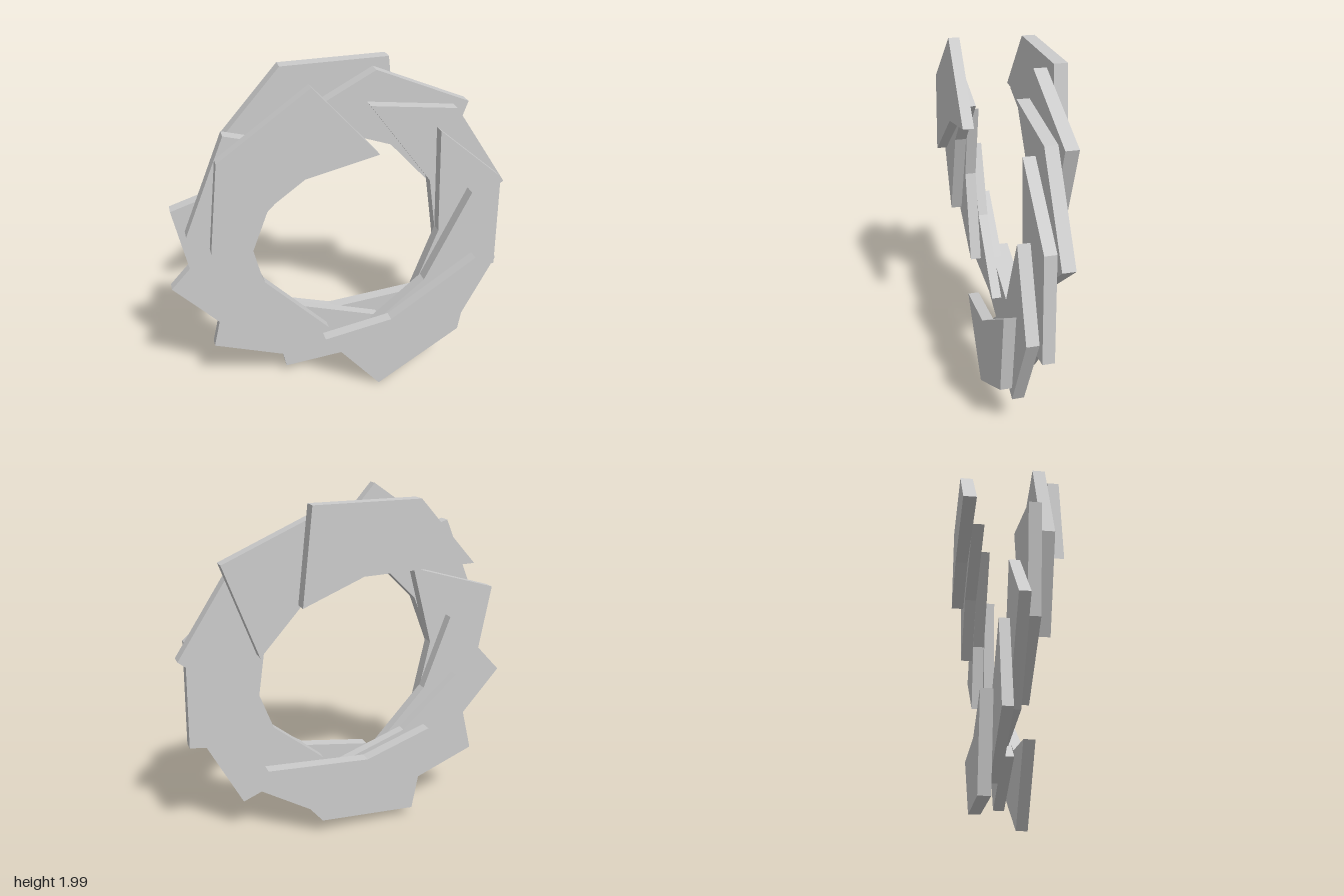
import * as THREE from 'three';

// One row per overlapping plate, going round the ring:
// [tip angle, back z, front z, tip r, shoulder r, tail r, inner r, head r, tail turn, head turn]
const frontStrand = [
  [102.8, 0.19, 0.25, 1.015, 0.962, 0.788, 0.573, 0.609, 66.6, -25],
  [130.8, 0.12, 0.187, 1.01, 0.917, 0.718, 0.557, 0.64, 69, -26.8],
  [159.8, 0.05, 0.115, 1.012, 0.874, 0.65, 0.54, 0.66, 70.5, -31],
  [189.7, -0.01, 0.048, 1.005, 0.852, 0.623, 0.52, 0.67, 71, -28],
  [219.6, -0.065, -0.01, 1.02, 0.89, 0.67, 0.545, 0.675, 70.5, -27.6],
  [249.8, -0.135, -0.067, 1.012, 0.935, 0.754, 0.56, 0.62, 67.5, -26],
];
const backStrand = [
  [280.2, 0.122, 0.187, 1.018, 0.965, 0.781, 0.58, 0.611, 66.5, -25],
  [310.2, 0.048, 0.115, 1.02, 0.958, 0.767, 0.574, 0.61, 66.5, -25],
  [340.5, -0.022, 0.042, 1.018, 0.977, 0.807, 0.576, 0.61, 66.5, -25],
  [370.8, -0.097, -0.028, 1.018, 0.958, 0.768, 0.589, 0.61, 66.8, -25],
  [402, -0.17, -0.1, 1.03, 0.947, 0.723, 0.57, 0.61, 67.8, -25],
  [432.2, -0.25, -0.177, 1.014, 1.006, 0.863, 0.58, 0.579, 64.5, -22],
];

const material = new THREE.MeshStandardMaterial({ color: 0xcccccc, flatShading: true });

// Five-cornered bent plate laid out in polar steps from its tip
function makePlate([angle, back, front, tip, shoulder, tail, inner, head, tailTurn, headTurn]) {
  const corners = [[tip, 0], [shoulder, 34.8], [tail, tailTurn], [inner, 15], [head, headTurn]];
  const shape = new THREE.Shape(corners.map(([r, turn]) => {
    const a = THREE.MathUtils.degToRad(angle + turn);
    return new THREE.Vector2(r * Math.cos(a), r * Math.sin(a));
  }));
  const geometry = new THREE.ExtrudeGeometry(shape, { depth: front - back, bevelEnabled: false });
  const mesh = new THREE.Mesh(geometry, material);
  mesh.position.set(-0.01, 1.008, back);
  return mesh;
}

export function createModel() {
  const model = new THREE.Group();
  model.name = 'spiralRing';

  // Two half-ring strands, each stepping backwards plate by plate
  for (const [name, rows] of [['leftStrand', backStrand], ['rightStrand', frontStrand]]) {
    const strand = new THREE.Group();
    strand.name = name;
    rows.forEach((row, i) => {
      const plate = makePlate(row);
      plate.name = `plate${i + 1}`;
      strand.add(plate);
    });
    model.add(strand);
  }
  return model;
}
